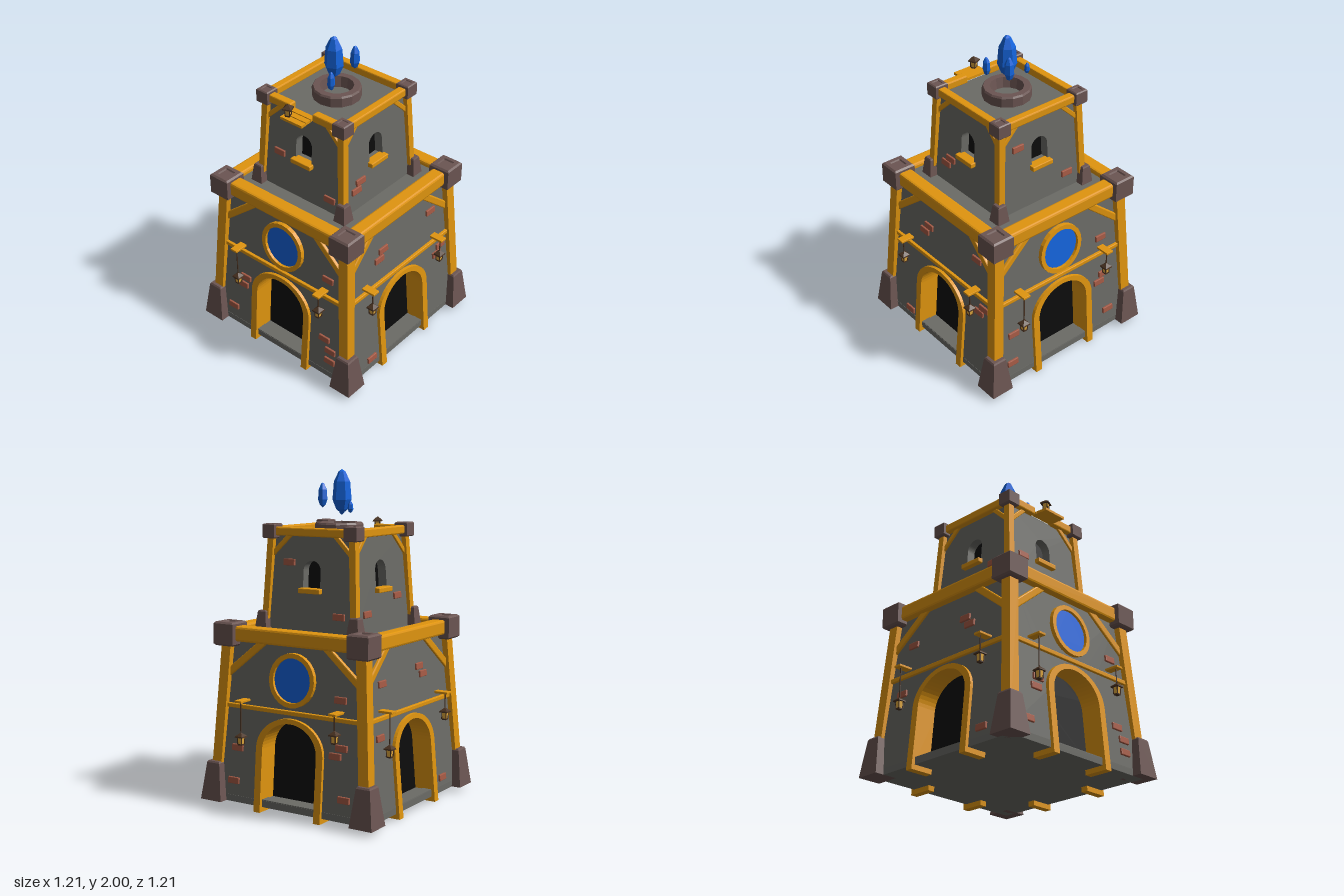
import * as THREE from 'three';
import { RoundedBoxGeometry } from 'three/addons/geometries/RoundedBoxGeometry.js';

const material = (name, color, extra = {}) => {
  const m = new THREE.MeshStandardMaterial({ color, ...extra });
  m.name = name;
  return m;
};

export function createModel() {
  const plaster = material('grey plaster', 0x6b6b66, { flatShading: true });
  const wood = material('golden wood', 0xe0950f, { flatShading: true });
  const stone = material('brown stone', 0x6b5552, { flatShading: true });
  const brick = material('red brick', 0xa55a45, { flatShading: true });
  const blue = material('blue crystal', 0x1464dc, { flatShading: true });
  const black = material('black opening', 0x0c0c0c, { side: THREE.DoubleSide });
  const iron = material('dark iron', 0x4a3322, { flatShading: true });
  const glow = material('lantern glow', 0xeab040, { flatShading: true });

  const model = new THREE.Group();
  model.name = 'tower';
  const add = (parent, name, geo, mat, x = 0, y = 0, z = 0) => {
    const m = new THREE.Mesh(geo, mat);
    m.name = name;
    m.position.set(x, y, z);
    parent.add(m);
    return m;
  };

  // Wall distance from the centre at each height
  const lowerWall = y => 0.545 - 0.085 * (y - 0.05);
  const upperWall = y => 0.315 - 0.07 * (y - 1.05);

  // Lean a geometry so that its z follows the wall
  const lean = (geo, wall) => {
    const p = geo.attributes.position;
    for (let i = 0; i < p.count; i++) p.setZ(i, p.getZ(i) + wall(p.getY(i)));
    geo.computeVertexNormals();
    return geo;
  };
  const extrude = (shape, depth, wall, front = 0) => {
    const geo = new THREE.ExtrudeGeometry(shape, { depth, bevelEnabled: false, curveSegments: 12 });
    geo.translate(0, 0, front - depth);
    return lean(geo, wall);
  };
  const trace = (path, r, y0, spring, ry) => {
    path.moveTo(-r, y0);
    path.lineTo(r, y0);
    path.lineTo(r, spring);
    path.absellipse(0, spring, r, ry, 0, Math.PI, false);
    path.lineTo(-r, y0);
    return path;
  };
  const circle = (path, y, r) => path.absarc(0, y, r, 0, Math.PI * 2, false);

  // Four-sided turned block from [half width, height] points
  const squareLathe = pts => new THREE.LatheGeometry(
    pts.map(([r, y]) => new THREE.Vector2(r * Math.SQRT2, y)), 4, Math.PI / 4);
  const capBlock = s => squareLathe([[0, -s], [s * 0.86, -s], [s, -s * 0.86], [s, s * 0.86],
    [s * 0.86, s], [s * 0.52, s], [s * 0.45, s * 0.88], [0, s * 0.88]]);

  // Bevelled timber between two points
  const beam = (parent, name, a, b, w, h = w) => {
    const from = new THREE.Vector3(...a), to = new THREE.Vector3(...b);
    const geo = new RoundedBoxGeometry(w, h, from.distanceTo(to), 1, Math.min(w, h) * 0.15);
    const m = new THREE.Mesh(geo, wood);
    m.name = name;
    m.position.copy(from).lerp(to, 0.5);
    m.lookAt(to);
    parent.add(m);
  };

  // Lantern with its top at the given height
  const lantern = (parent, x, top, z, turn = 0) => {
    const g = new THREE.Group();
    g.name = 'lantern';
    g.position.set(x, top, z);
    g.rotation.y = turn;
    parent.add(g);
    add(g, 'lanternRoof', squareLathe([[0, -0.03], [0.027, -0.03], [0.025, -0.022], [0.006, -0.005], [0, 0]]), iron);
    add(g, 'lanternGlass', squareLathe([[0, -0.07], [0.011, -0.07], [0.016, -0.03], [0, -0.03]]), glow);
    add(g, 'lanternBase', new THREE.BoxGeometry(0.028, 0.008, 0.028), iron, 0, -0.073, 0);
    for (const sx of [-1, 1]) for (const sz of [-1, 1])
      add(g, 'lanternBar', new THREE.BoxGeometry(0.005, 0.042, 0.005), iron, sx * 0.014, -0.05, sz * 0.014);
  };

  // Floors
  add(model, 'baseSlab', new THREE.BoxGeometry(1.09, 0.04, 1.09), plaster, 0, 0.05, 0);
  add(model, 'lowerRoof', new THREE.BoxGeometry(0.91, 0.05, 0.91), plaster, 0, 1.03, 0);
  add(model, 'upperRoof', new THREE.BoxGeometry(0.55, 0.05, 0.55), plaster, 0, 1.595, 0);

  // Bricks as [across, height] for front, right, back, left
  const bricks = [
    [[-0.18, 1.3], [0.21, 1.14], [0.35, 0.73], [0.35, 0.3], [0.4, 0.23], [0.4, 0.155], [-0.4, 0.155], [-0.32, 0.36], [-0.3, 0.42]],
    [[-0.15, 1.23], [-0.19, 1.185], [-0.15, 0.82], [-0.19, 0.77], [0.31, 0.84], [0.4, 0.54], [0.36, 0.495], [-0.31, 0.105]],
    [[-0.16, 1.46], [0.2, 1.16], [0.33, 0.72], [0.35, 0.45], [0.31, 0.4], [-0.38, 0.36], [-0.4, 0.16], [0.38, 0.16]],
    [[0.17, 1.25], [-0.18, 1.17], [0.13, 0.84], [0.17, 0.79], [-0.3, 0.8], [-0.36, 0.5], [0.33, 0.12]]
  ];
  // Lantern heights at the two arms of each side
  const lanternTops = [[0.465, 0.56], [0.56, 0.56], [0.465, 0.56], [0.465, 0.56]];

  for (let k = 0; k < 4; k++) {
    const side = new THREE.Group();
    side.name = ['front', 'right', 'back', 'left'][k] + 'Side';
    side.rotation.y = k * Math.PI / 2;
    model.add(side);
    const round = k % 2 === 0;

    // Walls with openings
    const panel = (wall, y0, y1) => new THREE.Shape([[-wall(y0), y0], [wall(y0), y0], [wall(y1), y1], [-wall(y1), y1]]
      .map(([x, y]) => new THREE.Vector2(x, y)));
    const low = panel(lowerWall, 0.07, 1.04);
    low.holes.push(trace(new THREE.Path(), 0.21, 0.075, 0.38, 0.18));
    add(side, 'lowerWall', extrude(low, 0.06, lowerWall), plaster);
    const high = panel(upperWall, 1.05, 1.61);
    high.holes.push(trace(new THREE.Path(), 0.06, 1.31, 1.415, 0.06));
    add(side, 'upperWall', extrude(high, 0.06, upperWall), plaster);

    // Doorway
    const frame = new THREE.Shape();
    frame.moveTo(-0.235, 0);
    frame.lineTo(-0.19, 0);
    frame.lineTo(-0.19, 0.38);
    frame.absellipse(0, 0.38, 0.19, 0.168, Math.PI, 0, true);
    frame.lineTo(0.19, 0);
    frame.lineTo(0.235, 0);
    frame.lineTo(0.235, 0.38);
    frame.absellipse(0, 0.38, 0.235, 0.197, 0, Math.PI, false);
    add(side, 'doorFrame', extrude(frame, 0.15, lowerWall, 0.02), wood);
    const door = new THREE.ShapeGeometry(trace(new THREE.Shape(), 0.2, 0.07, 0.38, 0.175));
    add(side, 'doorOpening', lean(door, y => lowerWall(y) - 0.11), black);

    // Upper window and sill
    const pane = new THREE.ShapeGeometry(trace(new THREE.Shape(), 0.07, 1.3, 1.415, 0.07));
    add(side, 'windowOpening', lean(pane, y => upperWall(y) - 0.055), black);
    beam(side, 'windowSill', [-0.075, 1.3, 0.3], [0.075, 1.3, 0.3], 0.06, 0.03);

    // Round window
    if (round) {
      const ring = new THREE.Shape();
      circle(ring, 0.8, 0.158);
      ring.holes.push(circle(new THREE.Path(), 0.8, 0.13));
      add(side, 'roundWindowFrame', extrude(ring, 0.05, lowerWall, 0.025), wood);
      const glass = circle(new THREE.Shape(), 0.8, 0.135);
      add(side, 'roundWindowGlass', extrude(glass, 0.008, lowerWall, 0.008), blue);
    }

    // Timber beams and braces
    beam(side, 'lowerBeam', [-0.42, 1.04, 0.465], [0.42, 1.04, 0.465], 0.09);
    if (k === 0) for (const s of [-1, 1])
      beam(side, 'upperBeam', [s * 0.26, 1.64, 0.285], [s * 0.082, 1.64, 0.285], 0.05);
    else beam(side, 'upperBeam', [-0.26, 1.64, 0.285], [0.26, 1.64, 0.285], 0.05);
    beam(side, 'middleBeam', [-0.48, 0.61, 0.5], [0.48, 0.61, 0.5], 0.03, 0.026);
    [-1, 1].forEach((s, i) => {
      beam(side, 'lowerBrace', [s * 0.47, 0.8, 0.475], [s * 0.2, 1.02, 0.455], 0.045);
      beam(side, 'upperBrace', [s * 0.295, 1.49, 0.283], [s * 0.15, 1.63, 0.275], 0.028);
      // Lantern arm, rod and lantern
      beam(side, 'lanternArm', [s * 0.33, 0.652, 0.46], [s * 0.33, 0.652, 0.583], 0.05, 0.014);
      const top = lanternTops[k][i];
      add(side, 'lanternRod', new THREE.CylinderGeometry(0.004, 0.004, 0.65 - top, 6), iron, s * 0.33, (0.65 + top) / 2, 0.556);
      lantern(side, s * 0.33, top, 0.556);
    });

    for (const [x, y] of bricks[k]) {
      const wall = y > 1.05 ? upperWall : lowerWall;
      const b = add(side, 'brick', new RoundedBoxGeometry(0.08, 0.04, 0.024, 1, 0.004), brick, x, y, wall(y));
      b.rotation.x = -0.08;
    }

    // Corner at the right end of this side: foot, leaning post, cap
    const post = (name, w, y0, y1, c0, c1) => {
      const geo = new THREE.BoxGeometry(w, y1 - y0, w).translate(0, (y0 + y1) / 2, 0);
      const p = geo.attributes.position;
      for (let i = 0; i < p.count; i++) {
        const c = THREE.MathUtils.mapLinear(p.getY(i), y0, y1, c0, c1);
        p.setXYZ(i, p.getX(i) + c, p.getY(i), p.getZ(i) + c);
      }
      geo.computeVertexNormals();
      add(side, name, geo, wood);
    };
    post('lowerPost', 0.066, 0.1, 1.0, 0.528, 0.47);
    post('upperPost', 0.042, 1.08, 1.62, 0.313, 0.284);
    add(side, 'lowerFoot', squareLathe([[0, 0.03], [0.075, 0.03], [0.046, 0.255], [0.04, 0.265], [0, 0.265]]), stone, 0.529, 0, 0.529);
    add(side, 'upperFoot', squareLathe([[0, 1.05], [0.042, 1.05], [0.028, 1.16], [0.024, 1.168], [0, 1.168]]), stone, 0.323, 0, 0.323);
    add(side, 'lowerCap', capBlock(0.071), stone, 0.468, 1.037, 0.468);
    add(side, 'upperCap', capBlock(0.043), stone, 0.285, 1.64, 0.285);
  }

  // Planks and lantern at the front lookout
  for (let i = 0; i < 3; i++)
    add(model, 'lookoutPlank', new THREE.BoxGeometry(0.16, 0.016, 0.037), wood, 0, 1.626 - i * 0.003, 0.299 + i * 0.04);
  lantern(model, -0.047, 1.706, 0.365, 0.4);

  // Stone ring on the roof
  add(model, 'crystalRing', new THREE.LatheGeometry([[0.145, 1.61], [0.145, 1.675], [0.138, 1.686], [0.1, 1.686], [0.088, 1.61]]
    .map(([r, y]) => new THREE.Vector2(r, y)), 14), stone);

  // Floating crystals as [x, z, bottom, top, radius]
  for (const [x, z, y0, y1, r] of [[-0.012, 0.012, 1.735, 2.0, 0.058], [0.058, -0.09, 1.775, 1.922, 0.031],
    [0.056, 0.116, 1.722, 1.84, 0.024], [-0.11, -0.048, 1.745, 1.815, 0.017]]) {
    const pts = [[0, 0], [0.6, 0.1], [1, 0.32], [0.85, 0.72], [0.35, 0.95], [0, 1]]
      .map(([a, t]) => new THREE.Vector2(a * r, y0 + t * (y1 - y0)));
    add(model, 'crystal', new THREE.LatheGeometry(pts, 6, x * 9), blue, x, 0, z);
  }

  return model;
}
